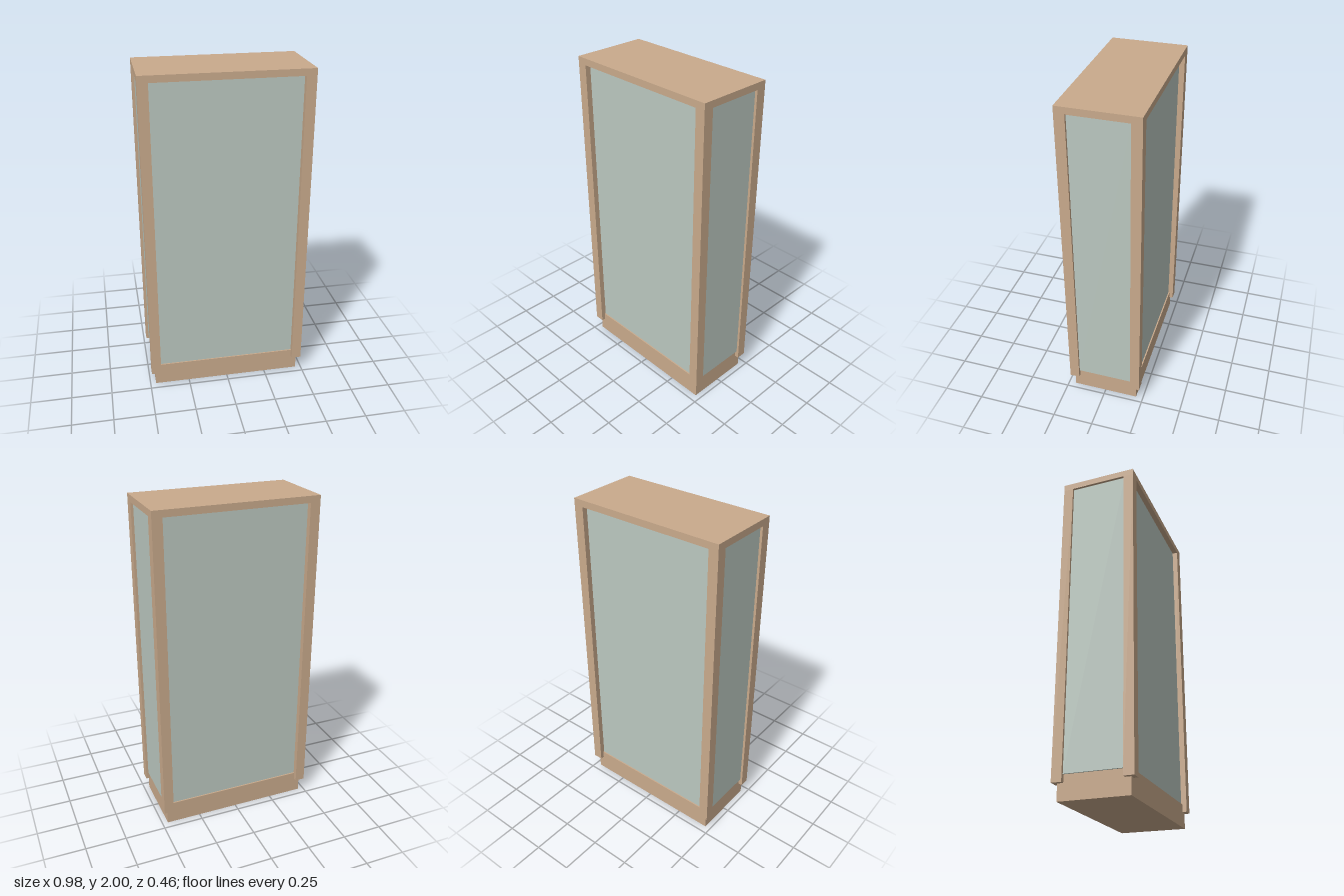
import * as THREE from 'three';

export function createModel() {
  const group = new THREE.Group();
  const wood = new THREE.MeshStandardMaterial({ color: 0xc9aa8c });
  wood.name = 'light wood';
  const glass = new THREE.MeshStandardMaterial({ color: 0xbbc8c0 });
  glass.name = 'pale green glass';

  // Box given by its size and the heights of its bottom and top
  function box(name, material, width, depth, bottom, top, x = 0, z = 0) {
    const mesh = new THREE.Mesh(new THREE.BoxGeometry(width, top - bottom, depth), material);
    mesh.name = name;
    mesh.position.set(x, (bottom + top) / 2, z);
    group.add(mesh);
  }

  const W = 0.98, D = 0.46, post = 0.06;
  const baseTop = 0.14, lidBottom = 1.96;

  // Recessed plinth and full-size lid
  box('plinth', wood, 0.93, 0.41, 0, baseTop);
  box('lid', wood, W, D, lidBottom, 2);

  // Corner posts overlapping the plinth
  for (const sx of [-1, 1]) {
    for (const sz of [-1, 1]) {
      box('cornerPost', wood, post, post, 0.095, lidBottom,
        sx * (W - post) / 2, sz * (D - post) / 2);
    }
  }

  // Glass panes set between the posts
  const t = 0.016, paneX = 0.475, paneZ = 0.197;
  for (const s of [-1, 1]) {
    box('widePane', glass, W - 2 * post, t, baseTop, lidBottom, 0, s * (paneZ - t / 2));
    box('sidePane', glass, t, D - 2 * post, baseTop, lidBottom, s * (paneX - t / 2), 0);
  }

  return group;
}
